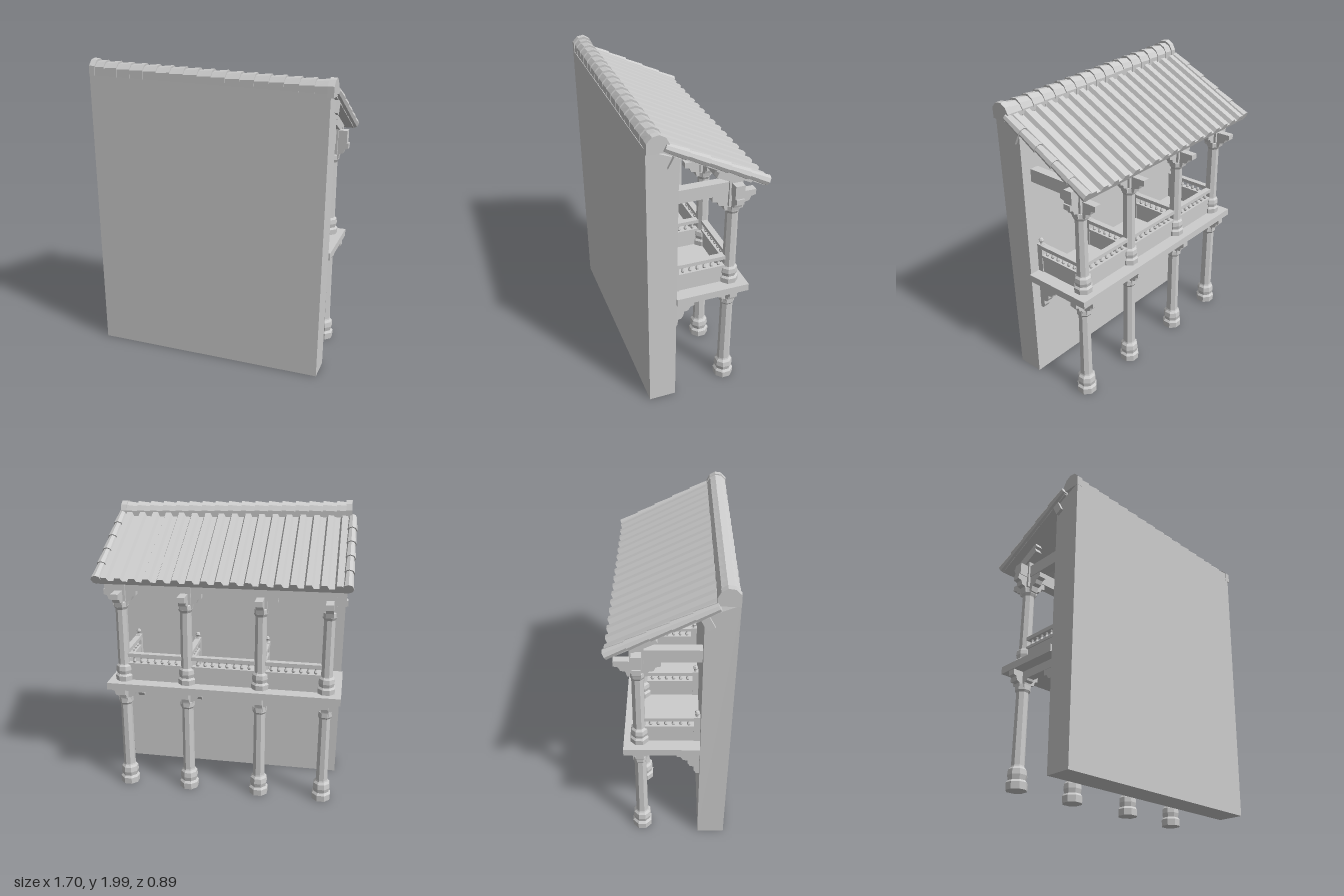
import * as THREE from 'three';

const stone = new THREE.MeshStandardMaterial({ color: 0xcccccc, flatShading: true });
stone.name = 'grey stone';

const COLUMN_X = [-0.69, -0.25, 0.25, 0.69];
const COLUMN_Z = -0.2;
const WALL_BACK = 0.18;

function add(parent, name, geometry, x = 0, y = 0, z = 0) {
  const mesh = new THREE.Mesh(geometry, stone);
  mesh.name = name;
  mesh.position.set(x, y, z);
  parent.add(mesh);
  return mesh;
}

// Box given by its limits on each axis
function block(parent, name, x0, x1, y0, y1, z0, z1) {
  const g = new THREE.BoxGeometry(x1 - x0, y1 - y0, z1 - z0);
  return add(parent, name, g, (x0 + x1) / 2, (y0 + y1) / 2, (z0 + z1) / 2);
}

function extrude(points, depth) {
  const shape = new THREE.Shape(points.map(([x, y]) => new THREE.Vector2(x, y)));
  return new THREE.ExtrudeGeometry(shape, { depth, bevelEnabled: false });
}

// Octagonal turned part from [radius, height] pairs
function turned(points, sides = 8) {
  const g = new THREE.LatheGeometry(points.map(([r, y]) => new THREE.Vector2(r, y)), sides);
  return g.rotateY(Math.PI / sides);
}

// Stepped bracket reaching out along +x, its top at y = 0
function corbel(length, height, width) {
  const g = extrude([
    [0, 0], [0, -height], [length * 0.42, -height], [length * 0.48, -height * 0.68],
    [length * 0.7, -height * 0.62], [length * 0.78, -height * 0.38],
    [length, -height * 0.32], [length, 0],
  ], width);
  return g.translate(0, 0, -width / 2);
}

function bracketCross(parent, x, y, armX, armZ, height) {
  for (let i = 0; i < 4; i++) {
    const arm = add(parent, 'columnBracket', corbel(i % 2 ? armZ : armX, height, 0.05), x, y, COLUMN_Z);
    arm.rotation.y = i * Math.PI / 2;
  }
}

// Wall, slightly wider at the top, its top falling towards the roof
function buildWall(parent) {
  const g = new THREE.BoxGeometry(1.544, 1.86, 0.176).translate(0, 0.93, 0.268);
  const p = g.attributes.position;
  for (let i = 0; i < p.count; i++) {
    if (p.getY(i) < 1) continue;
    const front = p.getZ(i) > 0.27;
    p.setXYZ(i, p.getX(i) * 1.02, (front ? 1.87 : 1.79) - p.getX(i) * 0.02, front ? 0.374 : WALL_BACK);
  }
  g.computeVertexNormals();
  add(parent, 'wall', g);
}

// Ridge of overlapping tiles with a cap at each end
function buildRidge(parent) {
  const ridge = new THREE.Group();
  ridge.name = 'ridge';
  ridge.position.set(0, 1.86, 0.31);
  ridge.rotation.z = -0.028;
  parent.add(ridge);
  const profile = [[-0.061, 0], [0.062, 0], [0.064, 0.045], [0.045, 0.08], [0.01, 0.1], [-0.03, 0.094], [-0.061, 0.062]];
  const count = 17, step = 1.56 / count;
  for (let i = 0; i < count; i++) {
    const g = extrude(profile, step);
    const p = g.attributes.position;
    for (let k = 0; k < p.count; k++) {
      if (p.getZ(k) < step / 2) p.setXY(k, p.getX(k) * 0.96, p.getY(k) * 0.87);
    }
    g.rotateY(Math.PI / 2);
    g.computeVertexNormals();
    add(ridge, 'ridgeTile', g, -0.78 + i * step);
  }
  for (const x of [-0.79, 0.765]) {
    const g = extrude(profile.map(([a, b]) => [a * 1.06, b * 1.1]), 0.04).rotateY(Math.PI / 2);
    add(ridge, 'ridgeEndCap', g, x, -0.004);
  }
}

// Sloping tiled roof; its own -z axis runs down the slope
function buildRoof(parent) {
  const roof = new THREE.Group();
  roof.name = 'roof';
  roof.position.set(0, 1.885, 0.25);
  roof.rotation.set(-0.467, 0, -0.012);
  parent.add(roof);

  const length = 0.7, count = 17, pitch = 1.58 / count;
  const outline = [[0.8, -0.022], [0.8, -0.052], [-0.8, -0.052], [-0.8, -0.022]];
  for (let i = 0; i < count; i++) {
    const x = -0.79 + (i + 0.5) * pitch;
    outline.push([x - 0.03, -0.026], [x - 0.018, 0], [x + 0.018, 0], [x + 0.03, -0.026]);
  }
  add(roof, 'roofTiles', extrude(outline, length), 0, 0, -length);

  // Lapped edge tiles down both sides
  for (const x of [-0.795, 0.795]) {
    for (let i = 0; i < 5; i++) {
      const g = new THREE.CylinderGeometry(0.034, 0.026, 0.145, 8).rotateX(-Math.PI / 2);
      add(roof, 'edgeTile', g, x, -0.018, -0.065 - i * 0.141);
    }
  }
  // Short rafters under the eave
  for (let i = 0; i < 11; i++) {
    const x = -0.72 + i * 0.144;
    block(roof, 'rafter', x - 0.022, x + 0.022, -0.082, -0.05, -0.65, -0.4);
    block(roof, 'rafterFoot', x - 0.022, x + 0.022, -0.115, -0.08, -0.59, -0.42);
  }
  // Small brackets where the roof edge meets the wall
  for (const s of [-1, 1]) block(roof, 'edgeBracket', s * 0.79 - 0.015, s * 0.79 + 0.015, -0.13, -0.05, -0.12, -0.07);
}

// Lower and upper columns with bases, collars and brackets
function buildColumns(parent) {
  const base = [[0, 0], [0.066, 0], [0.068, 0.045], [0.055, 0.06], [0.062, 0.09], [0.058, 0.125], [0.045, 0.14]];
  for (const x of COLUMN_X) {
    add(parent, 'lowerColumn', turned([...base, [0.042, 0.15], [0.04, 0.62], [0.05, 0.635], [0.05, 0.67], [0, 0.67]]), x, 0, COLUMN_Z);
    bracketCross(parent, x, 0.757, 0.095, 0.1, 0.115);
    const upperBase = base.map(([r, y]) => [r * 0.92, y * 0.85]);
    add(parent, 'upperColumn', turned([...upperBase, [0.041, 0.13], [0.039, 0.51], [0.05, 0.53], [0.05, 0.56], [0.04, 0.57], [0, 0.66]]), x, 0.8, COLUMN_Z);
    bracketCross(parent, x, 1.445, 0.11, 0.14, 0.11);
    block(parent, 'columnHead', x - 0.042, x + 0.042, 1.37, 1.56, COLUMN_Z - 0.042, COLUMN_Z + 0.042);

    // Beam and scalloped bracket from the wall under the deck
    block(parent, 'deckBeam', x - 0.025, x + 0.025, 0.7, 0.757, COLUMN_Z, WALL_BACK);
    const scallop = extrude([
      [0, 0], [0, -0.19], [0.02, -0.19], [0.035, -0.165], [0.035, -0.13], [0.06, -0.125], [0.075, -0.1],
      [0.075, -0.075], [0.105, -0.07], [0.12, -0.045], [0.145, -0.04], [0.15, 0],
    ], 0.045).translate(0, 0, -0.0225).rotateY(Math.PI / 2);
    add(parent, 'wallBracket', scallop, x, 0.705, WALL_BACK);
  }
  block(parent, 'eaveBeam', -0.79, 0.79, 1.445, 1.53, COLUMN_Z - 0.03, COLUMN_Z + 0.03);
  for (const x of [-0.69, 0.69]) block(parent, 'sideBeam', x - 0.03, x + 0.03, 1.445, 1.53, COLUMN_Z, WALL_BACK);
}

// Railing along +x: solid panel, balusters and handrail
function railing(parent, length, x, z, angle) {
  const rail = new THREE.Group();
  rail.name = 'railing';
  rail.position.set(x, 0.8, z);
  rail.rotation.y = angle;
  parent.add(rail);
  block(rail, 'railPanel', 0, length, 0, 0.115, -0.014, 0.014);
  block(rail, 'bottomRail', 0, length, 0.11, 0.128, -0.02, 0.02);
  block(rail, 'handrail', 0, length, 0.172, 0.197, -0.02, 0.02);
  const count = Math.round(length / 0.05);
  for (let i = 0; i < count; i++) {
    const g = turned([[0.007, 0.125], [0.013, 0.14], [0.006, 0.158], [0.011, 0.175]], 6);
    add(rail, 'baluster', g, (i + 0.5) * length / count);
  }
}

function buildBalcony(parent) {
  block(parent, 'deck', -0.79, 0.79, 0.755, 0.803, -0.3, WALL_BACK);
  COLUMN_X.forEach((x, i) => {
    railing(parent, WALL_BACK - COLUMN_Z, x, WALL_BACK, Math.PI / 2);
    block(parent, 'wallPost', x - 0.02, x + 0.02, 0.8, 1.0, WALL_BACK - 0.04, WALL_BACK);
    add(parent, 'postFinial', turned([[0.012, 0], [0.01, 0.012], [0.018, 0.026], [0.012, 0.04], [0, 0.046]], 6), x, 1.0, WALL_BACK - 0.02);
    if (i < 3) railing(parent, COLUMN_X[i + 1] - x, x, COLUMN_Z, 0);
  });
}

export function createModel() {
  const model = new THREE.Group();
  model.name = 'balconyFacade';
  model.rotation.y = 0.089;
  buildWall(model);
  buildRidge(model);
  buildRoof(model);
  buildColumns(model);
  buildBalcony(model);
  const root = new THREE.Group();
  root.name = 'building';
  root.add(model);
  return root;
}
